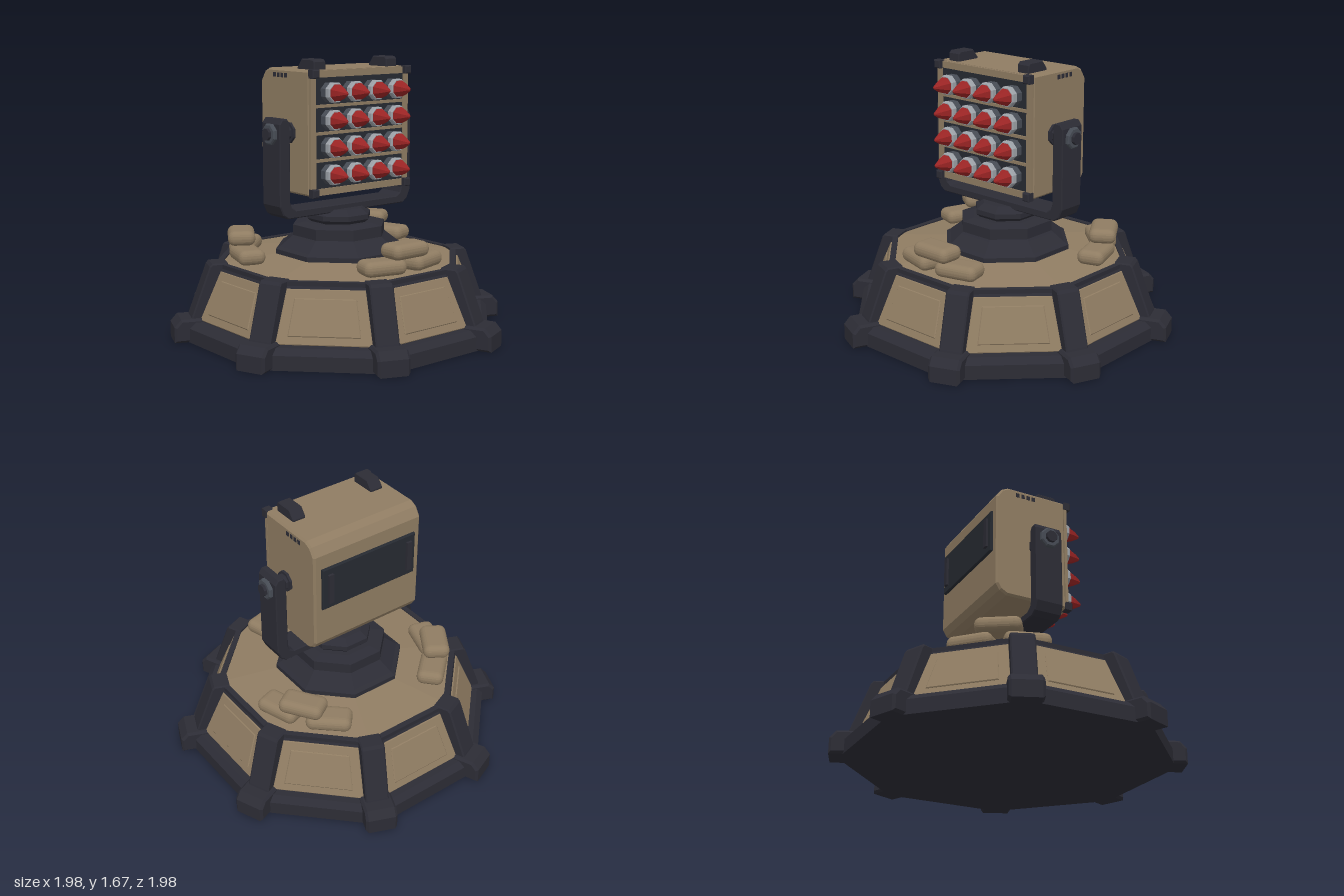
import * as THREE from 'three';
import { RoundedBoxGeometry } from 'three/addons/geometries/RoundedBoxGeometry.js';

const mat = (name, color) => Object.assign(new THREE.MeshStandardMaterial({ color }), { name });

export function createModel() {
  const model = new THREE.Group();
  const tan = mat('tan', 0x8f7c62), dark = mat('charcoal', 0x2c2c35), tile = mat('tile', 0x262a31);
  const steel = mat('steel', 0x9da2a8), bolt = mat('bolt', 0x474c55), red = mat('red', 0x9a2424);

  // Helpers
  const flat = (g) => {
    const f = g.index ? g.toNonIndexed() : g;
    f.computeVertexNormals();
    return f;
  };
  const add = (parent, name, geometry, material, x = 0, y = 0, z = 0) => {
    const m = new THREE.Mesh(geometry, material);
    m.name = name;
    m.position.set(x, y, z);
    parent.add(m);
    return m;
  };
  const group = (name, angle = 0) => {
    const g = new THREE.Group();
    g.name = name;
    g.rotation.y = angle;
    model.add(g);
    return g;
  };
  const box = (w, h, d) => new THREE.BoxGeometry(w, h, d);
  // Eight-sided turned solid; the profile is [distance to flat, height]
  const octa = (pts) => flat(new THREE.LatheGeometry(
    pts.map(([a, y]) => new THREE.Vector2(a / Math.cos(Math.PI / 8), y)), 8, Math.PI / 8));
  // Outline in XY, centred in depth, with bevels kept inside the outline
  const slab = (pts, depth, b = 0) => {
    const g = new THREE.ExtrudeGeometry(new THREE.Shape(pts.map(p => new THREE.Vector2(...p))), {
      depth: depth - 2 * b, bevelEnabled: b > 0, bevelThickness: b, bevelSize: b, bevelOffset: -b, bevelSegments: 1,
    });
    return flat(g.translate(0, 0, b - depth / 2));
  };
  // Outline in (z, y), extruded across x
  const side = (pts, width, b) => slab(pts, width, b).rotateY(-Math.PI / 2);

  // Octagonal base and deck
  add(model, 'baseBody', octa([[0, 0], [0.915, 0], [0.915, 0.085], [0.88, 0.12], [0.84, 0.12],
    [0.715, 0.43], [0.715, 0.455], [0.68, 0.455], [0.68, 0.445]]), dark);
  add(model, 'deck', octa([[0.685, 0.447], [0.36, 0.488], [0, 0.49]]), tan);

  // Sloped armour panels and corner buttresses
  const plate = slab([[-0.272, 0.005], [0.272, 0.005], [0.222, 0.318], [-0.222, 0.318]], 0.016, 0.004);
  const inset = slab([[-0.205, 0.05], [0.205, 0.05], [0.175, 0.265], [-0.175, 0.265]], 0.016, 0.005);
  const foot = side([[0.78, 0], [1.04, 0], [1.04, 0.095], [1.0, 0.14], [0.78, 0.14]], 0.19, 0.014);
  const pillar = side([[0.74, 0.1], [0.945, 0.1], [0.93, 0.15], [0.82, 0.445], [0.805, 0.462], [0.71, 0.462], [0.71, 0.4]], 0.14, 0.008);
  for (let i = 0; i < 8; i++) {
    const panel = group('armourPanel', i * Math.PI / 4);
    const slope = new THREE.Group();
    slope.position.set(0, 0.12, 0.84);
    slope.rotation.x = -Math.atan2(0.125, 0.31);
    panel.add(slope);
    add(slope, 'panelPlate', plate, tan);
    add(slope, 'panelInset', inset, tan, 0, 0, 0.006);
    const corner = group('cornerButtress', (i + 0.5) * Math.PI / 4);
    add(corner, 'foot', foot, dark);
    add(corner, 'pillar', pillar, dark);
  }

  // Sandbag piles: two bags below, one across the top
  const bag = flat(new RoundedBoxGeometry(0.27, 0.09, 0.165, 3, 0.042));
  for (const deg of [0, 123, -123]) {
    const pile = group('sandbagPile', THREE.MathUtils.degToRad(deg));
    for (const s of [-1, 1]) {
      const a = s * 0.26;
      add(pile, 'lowerSandbag', bag, tan, 0.59 * Math.sin(a), 0.503, 0.59 * Math.cos(a)).rotation.y = a;
    }
    add(pile, 'upperSandbag', bag, tan, 0, 0.589, 0.6);
  }

  // Pedestal and turntable neck
  add(model, 'pedestal', octa([[0.37, 0.47], [0.37, 0.515], [0.345, 0.53], [0.28, 0.585], [0.27, 0.595],
    [0.27, 0.66], [0.2, 0.675], [0, 0.675]]), dark);
  add(model, 'neck', octa([[0.16, 0.67], [0.185, 0.695], [0.185, 0.725], [0.14, 0.76], [0, 0.76]]), dark);

  // U-shaped yoke
  const half = [[0.45, 0.742], [0.485, 0.765], [0.51, 0.82], [0.51, 1.3], [0.49, 1.33], [0.455, 1.33],
    [0.435, 1.3], [0.435, 0.84], [0.425, 0.81], [0.395, 0.79]];
  const yoke = [...half, ...half.map(([x, y]) => [-x, y]).reverse()];
  add(model, 'yoke', slab(yoke, 0.175, 0.006), dark);

  // Pivots on both arms
  for (const s of [-1, 1]) {
    const pivot = group('pivot');
    const turn = (g) => g.rotateZ(-s * Math.PI / 2);
    add(pivot, 'hub', turn(octa([[0.06, 0.37], [0.06, 0.393], [0.045, 0.393], [0.045, 0.45]])), dark, 0, 1.24);
    add(pivot, 'collar', turn(octa([[0.06, 0.505], [0.06, 0.525], [0.052, 0.532], [0, 0.532]])), bolt, 0, 1.24);
    add(pivot, 'boltHead', turn(octa([[0.034, 0.53], [0.034, 0.55], [0, 0.55]])), dark, 0, 1.24);
  }

  // Launcher housing with chamfered back edges
  const launcher = group('launcher');
  add(launcher, 'housing', side([[0.19, 0.88], [0.19, 1.61], [-0.2, 1.61], [-0.245, 1.588], [-0.28, 1.535],
    [-0.28, 0.945], [-0.255, 0.905], [-0.21, 0.88]], 0.755, 0.012), tan);

  // Front frame, tube rows and dividers
  for (const s of [-1, 1]) {
    add(launcher, 'frameSide', box(0.038, 0.73, 0.02), tan, s * 0.356, 1.245, 0.195);
    add(launcher, 'frameRail', box(0.67, 0.04, 0.02), tan, 0, 1.245 + s * 0.343, 0.195);
    for (const y of [0.9, 1.59]) add(launcher, 'cornerCap', slab([[-0.025, -0.025], [0.025, -0.025],
      [0.025, 0.025], [-0.025, 0.025]], 0.05, 0.006), dark, s * 0.355, y, 0.207);
  }
  add(launcher, 'tubeFace', box(0.672, 0.65, 0.008), tile, 0, 1.245, 0.192);
  for (const y of [1.087, 1.245, 1.403]) add(launcher, 'rowDivider', box(0.672, 0.018, 0.02), tan, 0, y, 0.197);

  // Sixteen rockets
  const tube = octa([[0.056, 0.19], [0.056, 0.24], [0.05, 0.24]]).rotateX(Math.PI / 2);
  const ring = octa([[0.05, 0.236], [0.057, 0.24], [0.057, 0.268], [0.052, 0.275], [0.045, 0.275]]).rotateX(Math.PI / 2);
  const nose = octa([[0.048, 0.272], [0.046, 0.285], [0.031, 0.325], [0.01, 0.365], [0, 0.372]]).rotateX(Math.PI / 2);
  for (let r = 0; r < 4; r++) for (let c = 0; c < 4; c++) {
    const x = (c - 1.5) * 0.16, y = 1.005 + r * 0.159;
    add(launcher, 'rocketTube', tube, bolt, x, y);
    add(launcher, 'rocketCollar', ring, steel, x, y);
    add(launcher, 'rocketNose', nose, red, x, y);
  }

  // Roof blocks, side marks, rear hatch and its handles
  const block = side([[0.165, 1.6], [0.165, 1.655], [0.15, 1.67], [0.04, 1.67], [0, 1.62], [0, 1.6]], 0.085, 0.006);
  add(launcher, 'rearHatch', slab([[-0.33, -0.135], [0.33, -0.135], [0.33, 0.135], [-0.33, 0.135]], 0.03, 0.005),
    tile, 0, 1.312, -0.282);
  for (const s of [-1, 1]) {
    add(launcher, 'roofBlock', block, dark, s * 0.275);
    add(launcher, 'hatchHandle', box(0.035, 0.19, 0.02), dark, s * 0.28, 1.312, -0.302);
    for (let i = 0; i < 4; i++) {
      add(launcher, 'sideMark', box(0.006, 0.026, 0.022), dark, s * 0.3775, 1.572, -0.03 - i * 0.036);
    }
  }
  return model;
}
